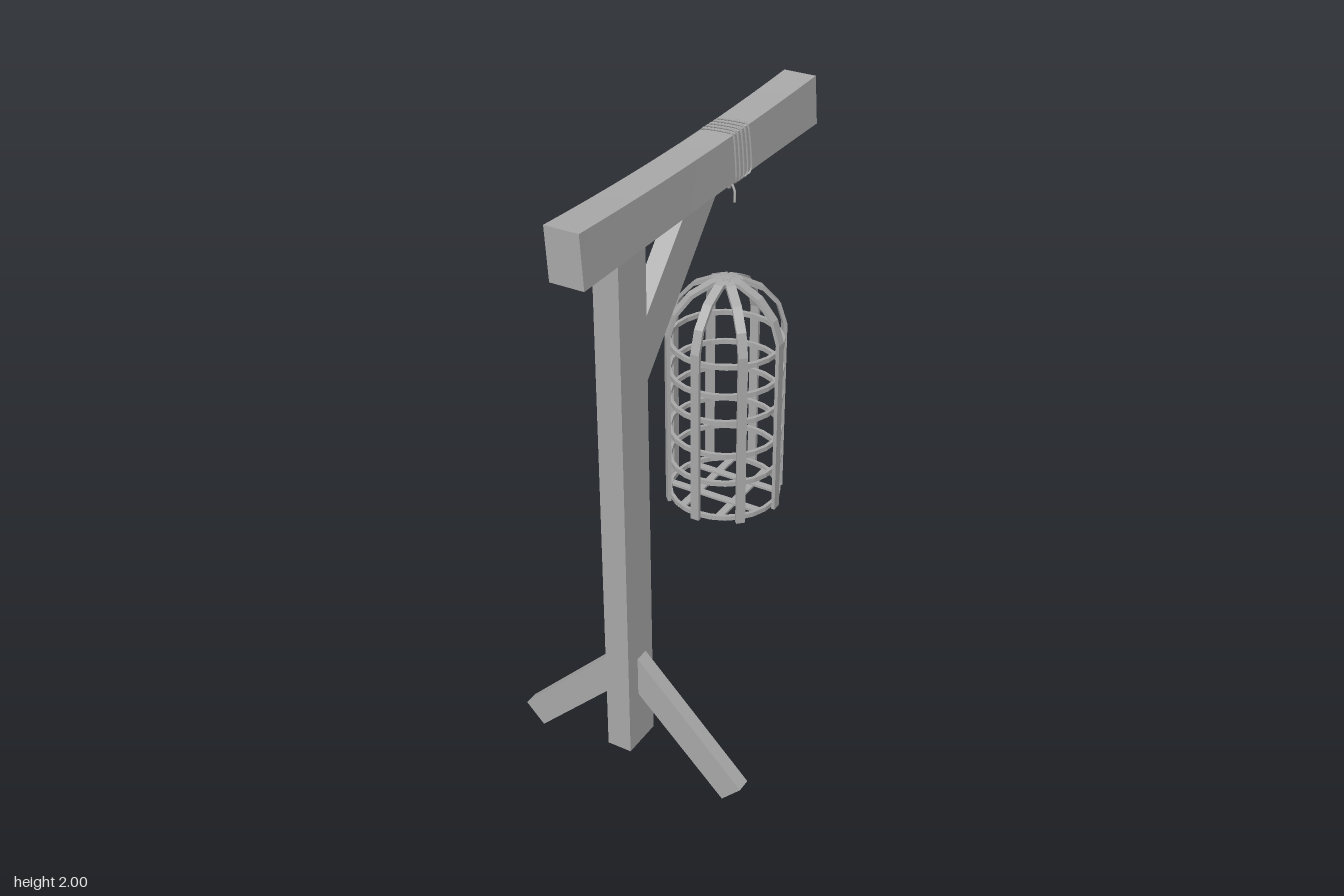
import * as THREE from 'three';

export function createModel() {
  const model = new THREE.Group();
  const wood = new THREE.MeshStandardMaterial({ color: 0xa8a8a8 });
  wood.name = 'grey';

  const add = (name, geometry, parent = model) => {
    const mesh = new THREE.Mesh(geometry, wood);
    mesh.name = name;
    parent.add(mesh);
    return mesh;
  };
  const box = (w, h, d, x, y, z) => new THREE.BoxGeometry(w, h, d).translate(x, y, z);
  // Flat outline extruded symmetrically about its own plane
  const prism = (points, depth) => new THREE.ExtrudeGeometry(
    new THREE.Shape(points.map(([x, y]) => new THREE.Vector2(x, y))),
    { depth, bevelEnabled: false }).translate(0, 0, -depth / 2);

  // Upright post
  add('post', box(0.084, 1.75, 0.14, -0.004, 0.975, 0.4));

  // Top beam, sagging and pinched slightly in the middle
  const beam = new THREE.BoxGeometry(0.11, 0.16, 1.32, 1, 1, 12);
  const p = beam.attributes.position;
  for (let i = 0; i < p.count; i++) {
    const x = p.getX(i), y = p.getY(i), t = p.getZ(i) / 0.66;
    const pinch = 1 - t * t;
    p.setX(i, x * (1 - 0.06 * pinch) - (y > 0 ? 0.008 : -0.002));
    p.setY(i, y > 0 ? 2 - 0.016 * pinch : 1.842 - 0.004 * t);
  }
  beam.computeVertexNormals();
  add('beam', beam);

  // Diagonal brace between post and beam
  add('brace', prism([[0.34, 1.37], [0.34, 1.58], [0.09, 1.85], [-0.095, 1.85]], 0.06)
    .rotateY(-Math.PI / 2));

  // Splayed feet
  for (const side of [1, -1]) {
    const foot = add(side > 0 ? 'leftFoot' : 'rightFoot',
      prism([[0.03, 0.31], [0.345, 0], [0.41, 0.067], [0.03, 0.45]], 0.048));
    foot.geometry.translate(0, 0, 0.39 + side * 0.003);
    if (side < 0) foot.rotation.y = Math.PI, foot.position.z = 0.774;
  }

  // Hanging cage
  const cage = new THREE.Group();
  cage.name = 'cage';
  cage.position.set(0.004, 0, -0.187);
  model.add(cage);

  // Eight bars that bend over into the dome
  const outer = [[0.195, 0.715], [0.195, 1.32], [0.172, 1.395], [0.118, 1.458], [0.05, 1.493], [0, 1.5]];
  const inner = [[0, 1.487], [0.047, 1.48], [0.111, 1.447], [0.162, 1.389], [0.183, 1.318], [0.183, 0.715]];
  for (let i = 0; i < 8; i++) {
    add('cageBar', prism([...outer, ...inner], 0.03).rotateY(i * Math.PI / 4), cage);
  }

  // Flat hoops
  const hoop = [[0.173, -0.008], [0.185, -0.008], [0.185, 0.008], [0.173, 0.008], [0.173, -0.008]]
    .map(([r, y]) => new THREE.Vector2(r, y));
  [0.73, 0.86, 0.965, 1.085, 1.18, 1.285].forEach((y, i) => {
    const ring = add('cageHoop', new THREE.LatheGeometry(hoop, 24).toNonIndexed(), cage);
    ring.geometry.computeVertexNormals();
    ring.position.y = y;
    ring.rotation.z = 0.012 * Math.sin(i * 2.3);
  });

  // Crossed floor slats
  for (const s of [-0.066, 0.066]) {
    add('floorSlat', box(0.335, 0.008, 0.025, 0, 0.732, s), cage);
    add('floorSlat', box(0.025, 0.008, 0.335, s, 0.726, 0), cage);
  }

  // Rope wound round the beam
  const rope = new THREE.Group();
  rope.name = 'rope';
  model.add(rope);
  const tube = (name, points, radius, closed) => add(name, new THREE.TubeGeometry(
    new THREE.CatmullRomCurve3(points.map(q => new THREE.Vector3(...q)), closed, 'catmullrom', 0.3),
    closed ? 32 : 12, radius, 5, closed), rope);
  for (let i = 0; i < 5; i++) {
    const z = -0.135 - i * 0.022;
    tube('ropeLoop', [[-0.06, 1.98, z], [-0.035, 1.992, z], [0.03, 1.992, z - 0.006], [0.047, 1.98, z - 0.008],
      [0.055, 1.845, z - 0.012], [0.02, 1.825, -0.18], [-0.02, 1.825, -0.18], [-0.052, 1.845, z]], 0.004, true);
  }

  // Knot and loose ends under the beam
  add('knot', new THREE.TorusGeometry(0.018, 0.007, 6, 10).rotateY(Math.PI / 2).translate(0, 1.82, -0.187), rope);
  tube('ropeEnd', [[0, 1.83, -0.187], [0.01, 1.81, -0.19], [0.005, 1.795, -0.192]], 0.007, false);
  tube('ropeEnd', [[0.02, 1.82, -0.18], [0.04, 1.8, -0.165], [0.045, 1.77, -0.155]], 0.004, false);

  return model;
}
